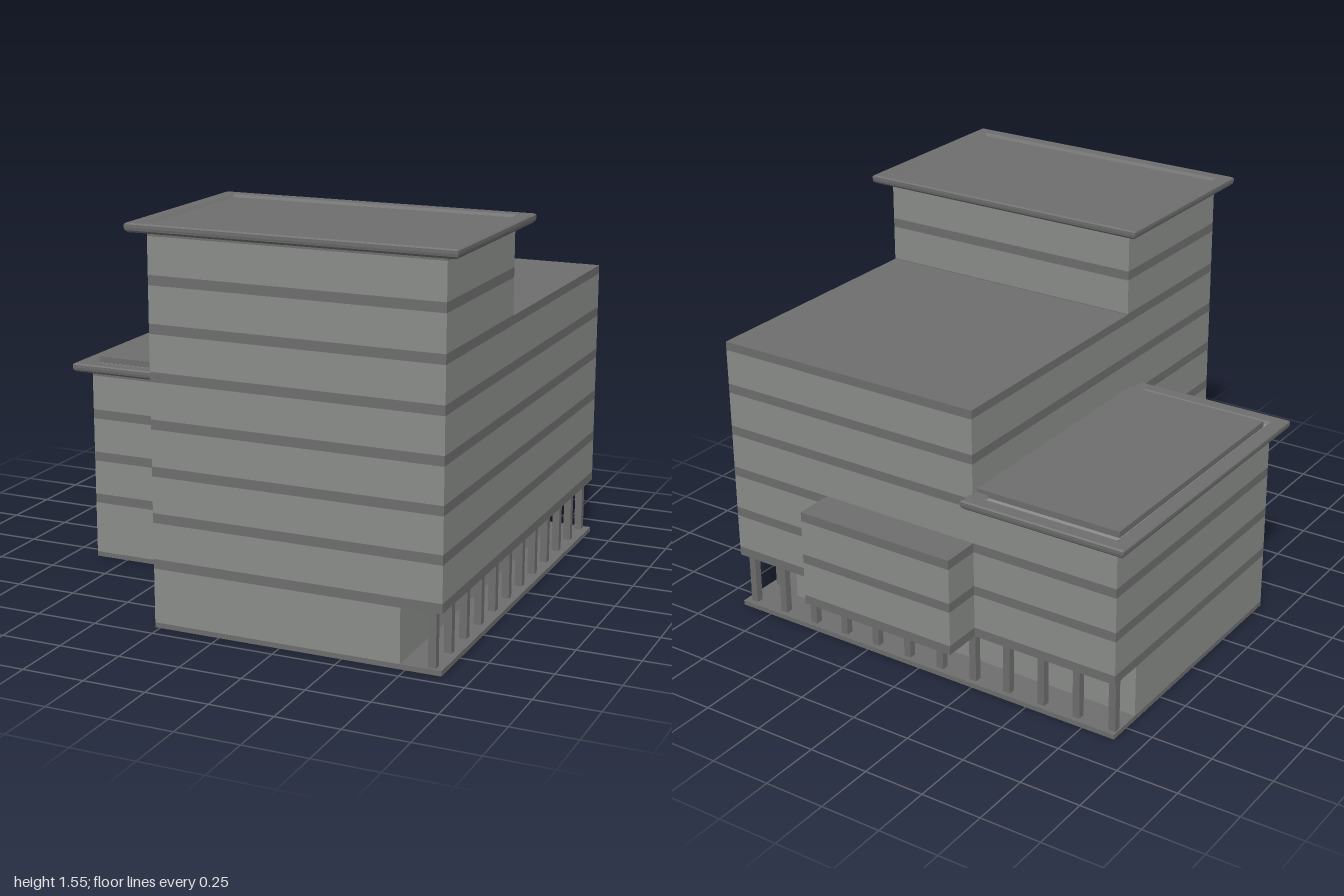
import * as THREE from 'three';

const grey = (color) => new THREE.MeshStandardMaterial({ color, flatShading: true });

export function createModel() {
  const model = new THREE.Group();
  const wallMat = grey(0x8a8d8a);
  const bandMat = grey(0x6e6e6e);

  // Box given by its limits on each axis
  function block(name, x0, x1, y0, y1, z0, z1, mat, parent = model) {
    const mesh = new THREE.Mesh(new THREE.BoxGeometry(x1 - x0, y1 - y0, z1 - z0), mat);
    mesh.position.set((x0 + x1) / 2, (y0 + y1) / 2, (z0 + z1) / 2);
    mesh.name = name;
    parent.add(mesh);
  }

  // Storeys: flush dark bands alternating with wall, on one shared level grid
  const FIRST = 0.235, STOREY = 0.181, BAND = 0.038;
  function storeys(name, x0, x1, y0, y1, z0, z1) {
    const group = new THREE.Group();
    group.name = name;
    for (let y = FIRST; y < y1; y += STOREY) {
      const parts = [['band', y, y + BAND, bandMat], ['wall', y + BAND, y + STOREY, wallMat]];
      for (const [part, a, b, mat] of parts) {
        const lo = Math.max(a, y0), hi = Math.min(b, y1);
        if (hi - lo > 0.001) block(part, x0, x1, lo, hi, z0, z1, mat, group);
      }
    }
    model.add(group);
  }

  // Cornice: a moulding profile carried round a rectangle with mitred corners
  function cornice(name, x0, x1, z0, z1, y) {
    const profile = [[-0.01, 0], [0.05, 0], [0.058, 0.008], [0.06, 0.018],
      [0.06, 0.03], [0.054, 0.035], [0.005, 0.035], [-0.01, 0.022]];
    const pos = [], index = [];
    for (const [out, up] of profile) {
      pos.push(x0 - out, y + up, z1 + out, x1 + out, y + up, z1 + out,
        x1 + out, y + up, z0 - out, x0 - out, y + up, z0 - out);
    }
    for (let i = 0; i < profile.length - 1; i++) {
      for (let j = 0; j < 4; j++) {
        const a = i * 4 + j, b = i * 4 + (j + 1) % 4;
        index.push(a, b, b + 4, a, b + 4, a + 4);
      }
    }
    let geo = new THREE.BufferGeometry();
    geo.setAttribute('position', new THREE.Float32BufferAttribute(pos, 3));
    geo.setIndex(index);
    geo = geo.toNonIndexed();
    geo.computeVertexNormals();
    const mesh = new THREE.Mesh(geo, bandMat);
    mesh.name = name;
    model.add(mesh);
  }

  // Base slab under the L-shaped plan
  block('baseMain', -0.27, 0.89, 0, 0.02, -0.84, 0.94, bandMat);
  block('baseWing', -0.89, -0.27, 0, 0.02, -0.84, 0.32, bandMat);

  // Ground floor, set back behind the columns on the right and rear
  block('groundFloorMain', -0.27, 0.73, 0.02, FIRST, -0.69, 0.94, wallMat);
  block('groundFloorWing', -0.89, -0.27, 0.02, FIRST, -0.69, 0.32, wallMat);

  // Upper storeys
  storeys('mainBlock', -0.27, 0.89, FIRST, 1.17, -0.84, 0.94);
  storeys('tower', -0.27, 0.89, 1.17, 1.525, 0.25, 0.94);
  storeys('wing', -0.89, -0.27, FIRST, 0.825, -0.84, 0.32);
  storeys('rearBay', -0.27, 0.42, FIRST, 0.632, -1, -0.84);

  // Roofs and cornices
  block('mainRoof', -0.27, 0.89, 1.17, 1.175, -0.84, 0.25, bandMat);
  block('bayRoof', -0.27, 0.42, 0.632, 0.635, -1, -0.84, bandMat);
  block('towerRoof', -0.27, 0.89, 1.525, 1.545, 0.25, 0.94, bandMat);
  block('wingRoof', -0.88, -0.27, 0.825, 0.85, -0.81, 0.28, bandMat);
  cornice('towerCornice', -0.27, 0.89, 0.25, 0.94, 1.52);
  cornice('wingCornice', -0.89, -0.315, -0.84, 0.315, 0.8);

  // Columns along the right side and the rear, sharing the corner one
  const SPACING = 0.156, half = 0.015;
  const column = (x, z) =>
    block('column', x - half, x + half, 0.02, FIRST, z - half, z + half, bandMat);
  for (let i = 0; i < 12; i++) {
    column(0.848, -0.805 + i * SPACING);
    if (i > 0) column(0.848 - i * SPACING, -0.805);
  }

  return model;
}
